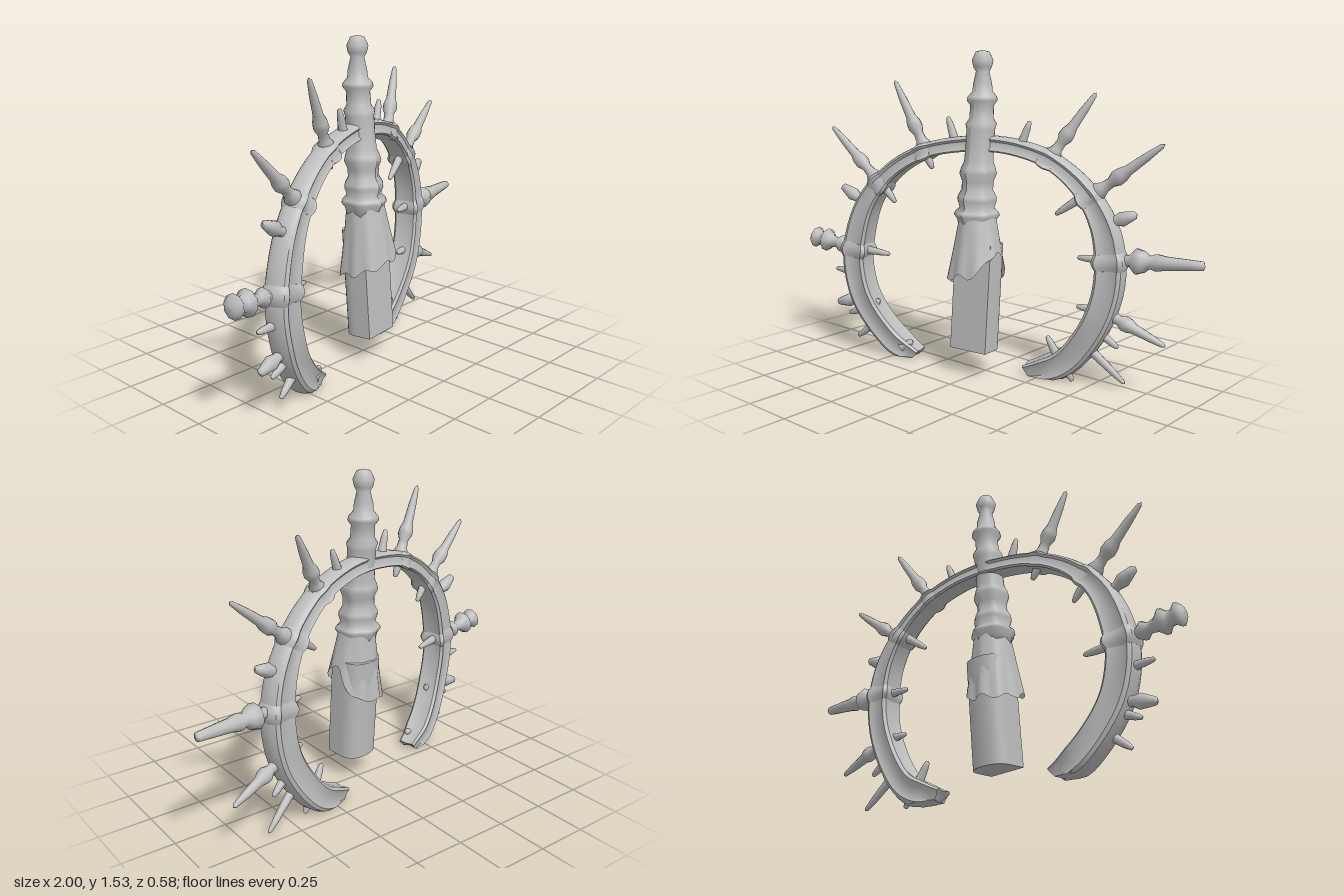
import * as THREE from 'three';
import { toCreasedNormals } from 'three/addons/utils/BufferGeometryUtils.js';

const stone = new THREE.MeshStandardMaterial({ color: 0xbebebe, side: THREE.DoubleSide });
stone.name = 'grey stone';

const lerp = THREE.MathUtils.lerp;
const smooth = THREE.MathUtils.smoothstep;

// The ring lies in an upright plane turned about y, its feet set slightly back
const ringZ = (x, y) => -0.02 - 0.305 * x - 0.03 * (1 - smooth(y, 0, 0.35));
// Spikes follow the ring, then bend off towards the far sides
const spikeZ = (x) => -0.02 - Math.sign(x) * (0.305 * Math.min(Math.abs(x), 0.65) + 0.16 * Math.max(Math.abs(x) - 0.65, 0));

// Open ring centre line, from the foot on -x over the top to the foot on +x
const path = new THREE.CatmullRomCurve3([
  [-0.4, 0], [-0.52, 0.075], [-0.645, 0.25], [-0.7, 0.45], [-0.69, 0.6], [-0.62, 0.8],
  [-0.48, 0.96], [-0.3, 1.06], [-0.1, 1.1], [0.02, 1.105], [0.15, 1.09], [0.3, 1.04],
  [0.45, 0.92], [0.55, 0.75], [0.58, 0.55], [0.55, 0.37], [0.47, 0.21], [0.35, 0.075], [0.185, 0.005],
].map(([x, y]) => new THREE.Vector3(x, y, 0)));

// Half of the ring's cross-section: radial, depth
const half = [[1, 0.3], [0.85, 0.72], [0.6, 0.9], [0.3, 0.75], [-0.45, 0.8], [-0.8, 1], [-1, 0.8]];
const section = [...half, [-0.85, 0], ...half.map(([r, d]) => [r, -d]).reverse()];

function sweep(t0, t1, steps, scale) {
  const pos = [], idx = [], n = section.length;
  for (let i = 0; i <= steps; i++) {
    const f = i / steps, t = lerp(t0, t1, f);
    const p = path.getPointAt(t), g = path.getTangentAt(t);
    const k = smooth(1.1 - p.y, 0, 0.55), s = scale(f);
    const w = (0.036 + 0.027 * k) * s, d = (0.052 + 0.01 * k) * s;
    for (const [r, e] of section) {
      const x = p.x - g.y * r * w, y = Math.max(0, p.y + g.x * r * w);
      pos.push(x + 0.29 * e * d, y, ringZ(x, p.y) + 0.957 * e * d);
    }
  }
  for (let i = 0; i < steps; i++) {
    for (let j = 0; j < n; j++) {
      const a = i * n + j, b = i * n + (j + 1) % n;
      idx.push(a, b, a + n, b, b + n, a + n);
    }
  }
  const e = steps * n;
  for (let j = 1; j < n - 1; j++) idx.push(0, j + 1, j, e, e + j, e + j + 1);
  const geo = new THREE.BufferGeometry();
  geo.setAttribute('position', new THREE.Float32BufferAttribute(pos, 3));
  geo.setIndex(idx);
  return toCreasedNormals(geo, 0.6);
}

// Spike profiles: fraction of the length, radius
const profiles = {
  horn: [[0, 0.034], [0.1, 0.04], [0.17, 0.026], [0.26, 0.023], [0.34, 0.036], [0.42, 0.034], [0.5, 0.024], [0.75, 0.019], [0.96, 0.011], [1, 0]],
  bulb: [[0, 0.03], [0.25, 0.022], [0.36, 0.044], [0.45, 0.025], [0.57, 0.032], [0.68, 0.06], [0.76, 0.036], [0.84, 0.034], [0.92, 0.054], [0.98, 0.035], [1, 0]],
  club: [[0, 0.03], [0.2, 0.026], [0.28, 0.06], [0.36, 0.05], [0.42, 0.03], [0.5, 0.04], [0.6, 0.032], [0.85, 0.025], [0.98, 0.021], [1, 0]],
  knob: [[0, 0.03], [0.35, 0.022], [0.55, 0.034], [0.75, 0.026], [0.94, 0.018], [1, 0]],
  thorn: [[0, 0.026], [0.4, 0.02], [0.75, 0.016], [0.96, 0.01], [1, 0]],
};

function spike(kind, x0, y0, x1, y1, z1 = spikeZ(x1)) {
  const a = new THREE.Vector3(x0, y0, spikeZ(x0));
  const dir = new THREE.Vector3(x1, y1, z1).sub(a), len = dir.length();
  const pts = profiles[kind].map(([t, r]) => new THREE.Vector2(r, t * len));
  const mesh = new THREE.Mesh(new THREE.LatheGeometry(pts, 10), stone);
  mesh.position.copy(a);
  mesh.quaternion.setFromUnitVectors(new THREE.Vector3(0, 1, 0), dir.normalize());
  mesh.name = kind + 'Spike';
  return mesh;
}

// Collar wrapped round the ring at the point nearest a spike's foot
function collar(x, y) {
  let best = 0, min = 9;
  for (let i = 0; i <= 200; i++) {
    const p = path.getPointAt(i / 200), d = Math.hypot(p.x - x, p.y - y);
    if (d < min) { min = d; best = i / 200; }
  }
  const mesh = new THREE.Mesh(sweep(best - 0.012, best + 0.012, 6, (f) => 1 + 0.2 * Math.sin(Math.PI * f)), stone);
  mesh.name = 'collar';
  return mesh;
}

// The pillar leans slightly forward towards its lower end
const leanZ = (y) => (y > 0.78 ? lerp(0.03, -0.012, smooth(y, 0.78, 1.4)) : lerp(0.045, 0.03, (y - 0.45) / 0.33));

function reshape(geo, rule) {
  const p = geo.attributes.position, v = new THREE.Vector3();
  for (let i = 0; i < p.count; i++) {
    rule(v.fromBufferAttribute(p, i));
    p.setXYZ(i, v.x, v.y, v.z);
  }
  geo.computeVertexNormals();
  return geo;
}

export function createModel() {
  const model = new THREE.Group();
  model.name = 'spikedRing';
  const add = (name, geo) => {
    const mesh = new THREE.Mesh(geo, stone);
    mesh.name = name;
    model.add(mesh);
  };

  // Ring, tapering slightly at both feet
  add('ring', sweep(0, 1, 110, (f) => lerp(0.75, 1, smooth(Math.min(f, 1 - f), 0, 0.04))));

  // Large spikes with collars
  for (const s of [
    ['horn', -0.31, 1.05, -0.468, 1.39, 0.13], ['horn', -0.57, 0.89, -0.85, 1.155], ['bulb', -0.7, 0.54, -1, 0.57],
    ['horn', 0.29, 1.04, 0.468, 1.345, -0.215], ['horn', 0.49, 0.89, 0.805, 1.135], ['club', 0.58, 0.605, 1, 0.625],
  ]) model.add(spike(...s), collar(s[1], s[2]));

  // Small spikes, outward then inward
  for (const s of [
    ['thorn', -0.16, 1.09, -0.2, 1.225], ['thorn', 0.15, 1.08, 0.2, 1.215], ['knob', -0.64, 0.77, -0.795, 0.855],
    ['knob', 0.54, 0.76, 0.69, 0.82], ['thorn', -0.7, 0.41, -0.85, 0.415], ['knob', -0.67, 0.28, -0.845, 0.235],
    ['thorn', -0.64, 0.24, -0.77, 0.185], ['thorn', -0.6, 0.16, -0.715, 0.07], ['thorn', 0.45, 0.21, 0.655, 0.03],
    ['thorn', 0.52, 0.27, 0.62, 0.195], ['thorn', 0.36, 0.1, 0.415, 0.005], ['horn', 0.55, 0.36, 0.84, 0.24],
    ['thorn', -0.7, 0.54, -0.515, 0.525], ['thorn', 0.58, 0.6, 0.425, 0.6], ['thorn', 0.47, 0.9, 0.32, 0.79],
    ['thorn', 0.55, 0.36, 0.425, 0.37], ['thorn', -0.56, 0.89, -0.48, 0.79], ['thorn', -0.32, 1.05, -0.28, 0.97],
    ['thorn', -0.62, 0.22, -0.585, 0.285], ['thorn', 0.35, 0.1, 0.29, 0.21], ['thorn', -0.46, 0.05, -0.4, 0.085],
  ]) model.add(spike(...s));

  // Turned pillar with finial
  const turned = [
    [0, 0.7], [0.08, 0.7], [0.09, 0.75], [0.105, 0.77], [0.1, 0.785], [0.079, 0.805], [0.09, 0.84], [0.088, 0.86],
    [0.072, 0.89], [0.072, 0.93], [0.086, 0.965], [0.08, 0.99], [0.068, 1.02], [0.066, 1.1], [0.067, 1.17], [0.073, 1.195],
    [0.057, 1.22], [0.055, 1.28], [0.072, 1.303], [0.068, 1.32], [0.047, 1.345], [0.044, 1.38], [0.031, 1.435],
    [0.043, 1.455], [0.05, 1.487], [0.032, 1.525], [0, 1.533],
  ].map(([r, y]) => new THREE.Vector2(r, y));
  add('pillar', reshape(new THREE.LatheGeometry(turned, 24), (v) => {
    const fold = 1 + 0.05 * Math.cos(Math.atan2(v.x, v.z) * 6) * (1 - smooth(v.y, 0.9, 1.2));
    v.set(v.x * fold - 0.027, v.y, v.z * fold + leanZ(v.y));
  }));

  // Folded cloth skirt with a ragged hem, shortest on the +x side
  const cloth = [];
  for (let i = 0; i <= 8; i++) cloth.push(new THREE.Vector2(lerp(0.122, 0.086, i / 8), i / 8));
  add('skirt', toCreasedNormals(reshape(new THREE.LatheGeometry(cloth, 48), (v) => {
    const a = Math.atan2(v.x, v.z), down = 1 - v.y;
    const hem = 0.465 + 0.03 * Math.cos(a) + 0.14 * Math.max(0, Math.sin(a)) ** 4 - 0.03 * Math.max(0, -Math.sin(a)) + 0.012 * Math.cos(a * 7);
    const f = 1 + down * (0.05 * Math.cos(a * 9) + 0.09 * Math.abs(Math.sin(2 * a)));
    const y = lerp(hem, 0.77, v.y);
    v.set(v.x * f - 0.02, y, v.z * f + leanZ(y));
  }), 0.7));

  // Lower block: flat front, rounded back, turned a little and leaning forward
  const d = new THREE.Shape();
  d.moveTo(-0.1, -0.08);
  d.lineTo(0.1, -0.08);
  d.lineTo(0.1, 0);
  d.bezierCurveTo(0.1, 0.06, 0.06, 0.083, 0, 0.083);
  d.bezierCurveTo(-0.06, 0.083, -0.1, 0.06, -0.1, 0);
  d.closePath();
  const block = new THREE.ExtrudeGeometry(d, { depth: 0.51, bevelEnabled: false, curveSegments: 8 });
  block.rotateX(-Math.PI / 2).rotateY(0.13).translate(0, 0.125, 0);
  add('block', toCreasedNormals(reshape(block, (v) => {
    v.set(v.x - 0.015, v.y + 0.05 * v.z, v.z + lerp(0.045, 0.005, (v.y - 0.125) / 0.51));
  }), 0.6));

  return model;
}
